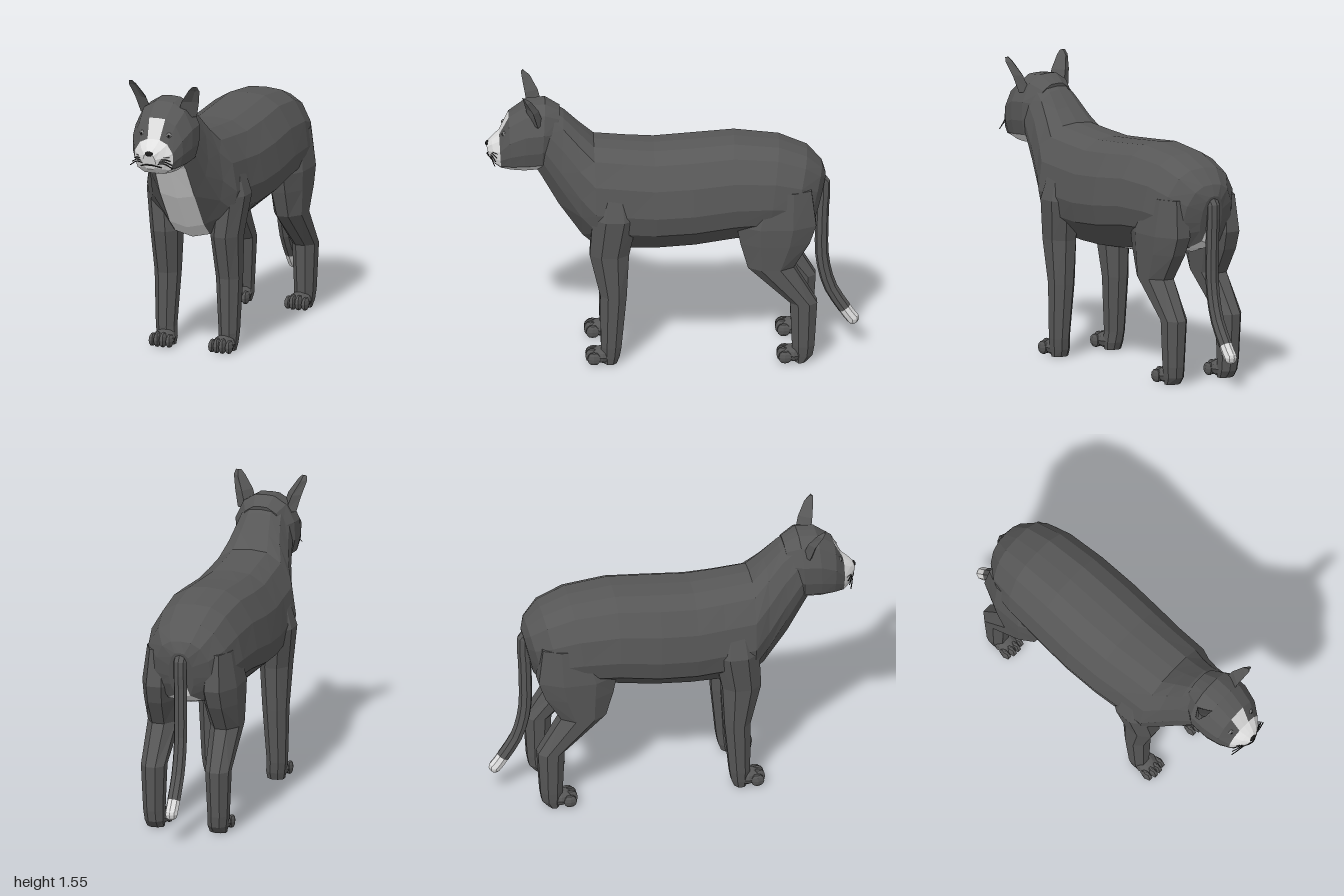
import * as THREE from 'three';

const flat = (name, color) => {
  const m = new THREE.MeshStandardMaterial({ color, flatShading: true });
  m.name = name;
  return m;
};

// Closed skin through rings of points; pick(segment, column) chooses the material index
function loft(name, rings, mats, pick = () => 0) {
  const faces = mats.map(() => []);
  const n = rings[0].length;
  rings.slice(1).forEach((b, i) => {
    const a = rings[i];
    for (let j = 0; j < n; j++) {
      const k = (j + 1) % n;
      faces[pick(i, j)].push(a[j], a[k], b[k], a[j], b[k], b[j]);
    }
  });
  const cap = (ring, segment, flip) => {
    const c = ring.reduce((s, p) => s.add(p), new THREE.Vector3()).divideScalar(n);
    for (let j = 0; j < n; j++) {
      const p = ring[j], q = ring[(j + 1) % n];
      faces[pick(segment, j)].push(c, flip ? q : p, flip ? p : q);
    }
  };
  cap(rings[0], 0, true);
  cap(rings.at(-1), rings.length - 2, false);
  const pts = faces.flat();
  // Turn the skin outward when its signed volume is negative
  let volume = 0;
  for (let i = 0; i < pts.length; i += 3) volume += pts[i].dot(pts[i + 1].clone().cross(pts[i + 2]));
  if (volume < 0) for (let i = 0; i < pts.length; i += 3) [pts[i + 1], pts[i + 2]] = [pts[i + 2], pts[i + 1]];
  const g = new THREE.BufferGeometry().setFromPoints(pts);
  let start = 0;
  faces.forEach((f, i) => { g.addGroup(start, f.length, i); start += f.length; });
  g.computeVertexNormals();
  const mesh = new THREE.Mesh(g, mats.length > 1 ? mats : mats[0]);
  mesh.name = name;
  return mesh;
}

// Mirrored section from a top point to a bottom point; profile holds [drop, width] pairs
function section([tz, ty, bz, by, w], profile, edge = 1) {
  const half = profile.map(([t, f], i) => new THREE.Vector3(
    i === profile.length - 2 ? Math.min(f * w, edge) : f * w,
    ty + (by - ty) * t, tz + (bz - tz) * t));
  const other = half.slice(1, -1).reverse().map(p => new THREE.Vector3(-p.x, p.y, p.z));
  return [...half, ...other];
}

// Eight-sided horizontal leg section
function legRing([y, zf, zb, xi, xo], side) {
  return Array.from({ length: 8 }, (_, k) => {
    const a = (k + 0.5) * Math.PI / 4, r = 0.5 / Math.cos(Math.PI / 8);
    return new THREE.Vector3(side * ((xi + xo) / 2 + (xo - xi) * r * Math.cos(a)), y,
      (zf + zb) / 2 + (zf - zb) * r * Math.sin(a));
  });
}

export function createModel() {
  const cat = new THREE.Group();
  cat.name = 'cat';
  const grey = flat('dark grey fur', 0x575757);
  const white = flat('white fur', 0xe0e0e0);
  const black = flat('black', 0x1c1c1c);
  const eyeGrey = flat('eye grey', 0x858585);

  const ball = (name, mat, [x, y, z], [rx, ry, rz], w = 8, h = 6) => {
    const m = new THREE.Mesh(new THREE.SphereGeometry(1, w, h), mat);
    m.name = name;
    m.position.set(x, y, z);
    m.scale.set(rx, ry, rz);
    cat.add(m);
  };
  const tube = (name, mat, pts, r, seg, sides) => {
    const curve = new THREE.CatmullRomCurve3(pts.map(p => new THREE.Vector3(...p)));
    const m = new THREE.Mesh(new THREE.TubeGeometry(curve, seg, r, sides), mat);
    m.name = name;
    cat.add(m);
  };

  // Trunk and neck, with a white strip along chest and belly
  const trunkProfile = [[0, 0], [0.015, 0.36], [0.1, 0.66], [0.3, 0.91], [0.55, 1], [0.73, 0.92], [0.96, 0.6], [1, 0]];
  const trunk = [
    [-0.82, 1.02, -0.76, 0.76, 0.07], [-0.80, 1.08, -0.71, 0.72, 0.16],
    [-0.72, 1.16, -0.62, 0.69, 0.235], [-0.57, 1.22, -0.5, 0.68, 0.265],
    [-0.33, 1.245, -0.33, 0.66, 0.28], [-0.1, 1.225, -0.12, 0.625, 0.287],
    [0.1, 1.21, 0.08, 0.61, 0.28], [0.25, 1.22, 0.22, 0.61, 0.268],
    [0.42, 1.235, 0.4, 0.62, 0.262], [0.5, 1.31, 0.48, 0.69, 0.215],
    [0.58, 1.39, 0.61, 0.88, 0.175], [0.66, 1.44, 0.71, 1.06, 0.155], [0.72, 1.43, 0.76, 1.13, 0.12],
  ].map(r => section(r, trunkProfile, 0.1));
  cat.add(loft('body', trunk, [grey, white], (i, j) => (j === 6 || j === 7 ? 1 : 0)));

  // Head with white blaze, muzzle and jaw
  const headProfile = [[0, 0], [0.01, 0.32], [0.12, 0.72], [0.38, 1], [0.65, 1], [0.86, 0.88], [0.99, 0.5], [1, 0]];
  const head = [
    [0.6, 1.42, 0.64, 1.14, 0.12], [0.68, 1.465, 0.7, 1.09, 0.165],
    [0.78, 1.455, 0.79, 1.083, 0.165], [0.875, 1.385, 0.86, 1.085, 0.145],
    [0.925, 1.28, 0.915, 1.09, 0.11], [0.965, 1.245, 0.945, 1.105, 0.075], [0.995, 1.215, 0.97, 1.125, 0.035],
  ].map(r => section(r, headProfile));
  cat.add(loft('head', head, [grey, white], (i, j) => {
    const c = Math.min(j, 13 - j);
    return c >= 5 || i >= 4 || (i === 3 && c === 0) ? 1 : 0;
  }));

  // Nose and mouth
  ball('nose', black, [0, 1.212, 0.985], [0.026, 0.014, 0.015]);
  tube('mouth', black, [[-0.06, 1.135, 0.955], [-0.028, 1.148, 0.978], [0, 1.152, 0.988], [0.028, 1.148, 0.978], [0.06, 1.135, 0.955]], 0.004, 10, 4);

  // Leg sections: height, front z, back z, inner x, outer x
  const foreLeg = [
    [0.98, 0.4, 0.22, 0.13, 0.25], [0.86, 0.43, 0.19, 0.11, 0.285], [0.64, 0.445, 0.235, 0.095, 0.255],
    [0.4, 0.388, 0.247, 0.112, 0.245], [0.1, 0.385, 0.275, 0.13, 0.235], [0.04, 0.38, 0.285, 0.125, 0.228], [0, 0.37, 0.3, 0.13, 0.22],
  ];
  const hindLeg = [
    [1, -0.42, -0.74, 0.09, 0.235], [0.8, -0.34, -0.765, 0.06, 0.265], [0.7, -0.36, -0.73, 0.075, 0.262],
    [0.56, -0.4, -0.645, 0.095, 0.255], [0.35, -0.625, -0.77, 0.115, 0.245], [0.1, -0.635, -0.755, 0.125, 0.235],
    [0.04, -0.64, -0.745, 0.125, 0.228], [0, -0.65, -0.71, 0.13, 0.22],
  ];
  // Ear sections: height, then inner, back, outer and front corners as x, z
  const ear = [
    [1.37, 0.07, 0.77, 0.11, 0.69, 0.163, 0.72, 0.125, 0.745],
    [1.46, 0.1, 0.785, 0.14, 0.715, 0.186, 0.745, 0.147, 0.752],
    [1.53, 0.148, 0.8, 0.175, 0.757, 0.205, 0.782, 0.177, 0.778],
    [1.555, 0.172, 0.805, 0.183, 0.79, 0.198, 0.797, 0.185, 0.798],
  ];

  for (const s of [1, -1]) {
    const label = s > 0 ? 'left' : 'right';
    cat.add(loft(label + 'FrontLeg', foreLeg.map(r => legRing(r, s)), [grey]));
    cat.add(loft(label + 'HindLeg', hindLeg.map(r => legRing(r, s)), [grey]));

    // Paws with four toes
    for (const [end, z] of [['Front', 0.375], ['Hind', -0.645]]) {
      ball(label + end + 'Paw', grey, [s * 0.173, 0.045, z], [0.062, 0.045, 0.08]);
      for (let i = 0; i < 4; i++) {
        const mid = i === 1 || i === 2;
        ball(label + end + 'Toe', grey, [s * (0.124 + i * 0.0327), mid ? 0.043 : 0.038, z + (mid ? 0.058 : 0.047)],
          [0.02, mid ? 0.042 : 0.037, 0.04], 6, 6);
      }
    }

    // Ears
    cat.add(loft(label + 'Ear', ear.map(([y, ...c]) =>
      [0, 2, 4, 6].map(k => new THREE.Vector3(s * c[k], y, c[k + 1]))), [grey]));

    // Eyes
    ball(label + 'Eye', eyeGrey, [s * 0.078, 1.3, 0.897], [0.016, 0.016, 0.014]);
    ball(label + 'Pupil', black, [s * 0.079, 1.3, 0.908], [0.006, 0.008, 0.005]);

    // Whiskers
    for (let i = 0; i < 4; i++) {
      const y = 1.152 + i * 0.01;
      tube(label + 'Whisker', black, [[s * 0.035, y, 0.97], [s * 0.075, y + 0.01, 0.968 - i * 0.004],
        [s * (0.125 - i * 0.01), y - 0.02 + i * 0.009, 0.95 - i * 0.006]], 0.0028, 5, 4);
    }
  }

  // Tail with white tip
  tube('tail', grey, [[0, 1.02, -0.765], [0, 0.985, -0.803], [0, 0.78, -0.8], [0, 0.52, -0.802], [0, 0.35, -0.845], [0, 0.225, -0.92]], 0.036, 12, 8);
  tube('tailTip', white, [[0, 0.225, -0.92], [0, 0.192, -0.942], [0, 0.165, -0.963]], 0.035, 2, 8);
  ball('tailEnd', white, [0, 0.165, -0.963], [0.035, 0.035, 0.035]);
  return cat;
}
